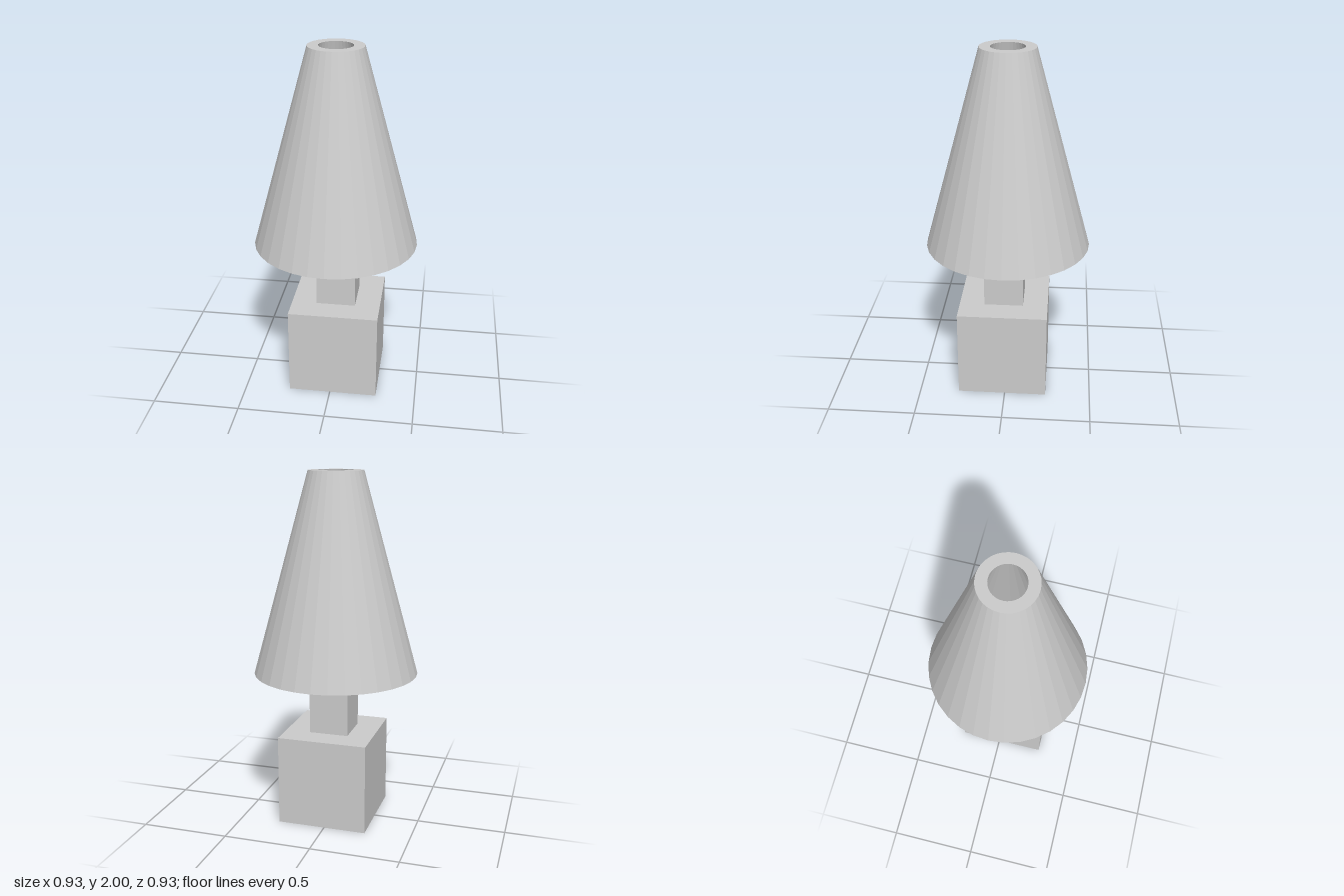
import * as THREE from 'three';

export function createModel() {
  const group = new THREE.Group();
  const material = new THREE.MeshStandardMaterial({ color: 0xcccccc, flatShading: true });
  const offset = 0.016; // base and post sit slightly off the shade's axis

  function add(name, geometry, x, y, z) {
    const mesh = new THREE.Mesh(geometry, material);
    mesh.name = name;
    mesh.position.set(x, y, z);
    group.add(mesh);
  }

  // Square block standing between two heights
  function addBlock(name, width, bottom, top) {
    const geometry = new THREE.BoxGeometry(width, top - bottom, width);
    add(name, geometry, offset, (bottom + top) / 2, offset);
  }

  addBlock('base', 0.512, 0, 0.517);
  addBlock('post', 0.225, 0.517, 0.983);

  // Hollow conical shade: outer wall, top rim, inner wall, bottom rim
  const profile = [
    [0.466, 0.87], [0.154, 2], [0.094, 2], [0.369, 0.87], [0.466, 0.87],
  ].map(([r, y]) => new THREE.Vector2(r, y));
  add('shade', new THREE.LatheGeometry(profile, 32), 0, 0, 0);

  return group;
}
